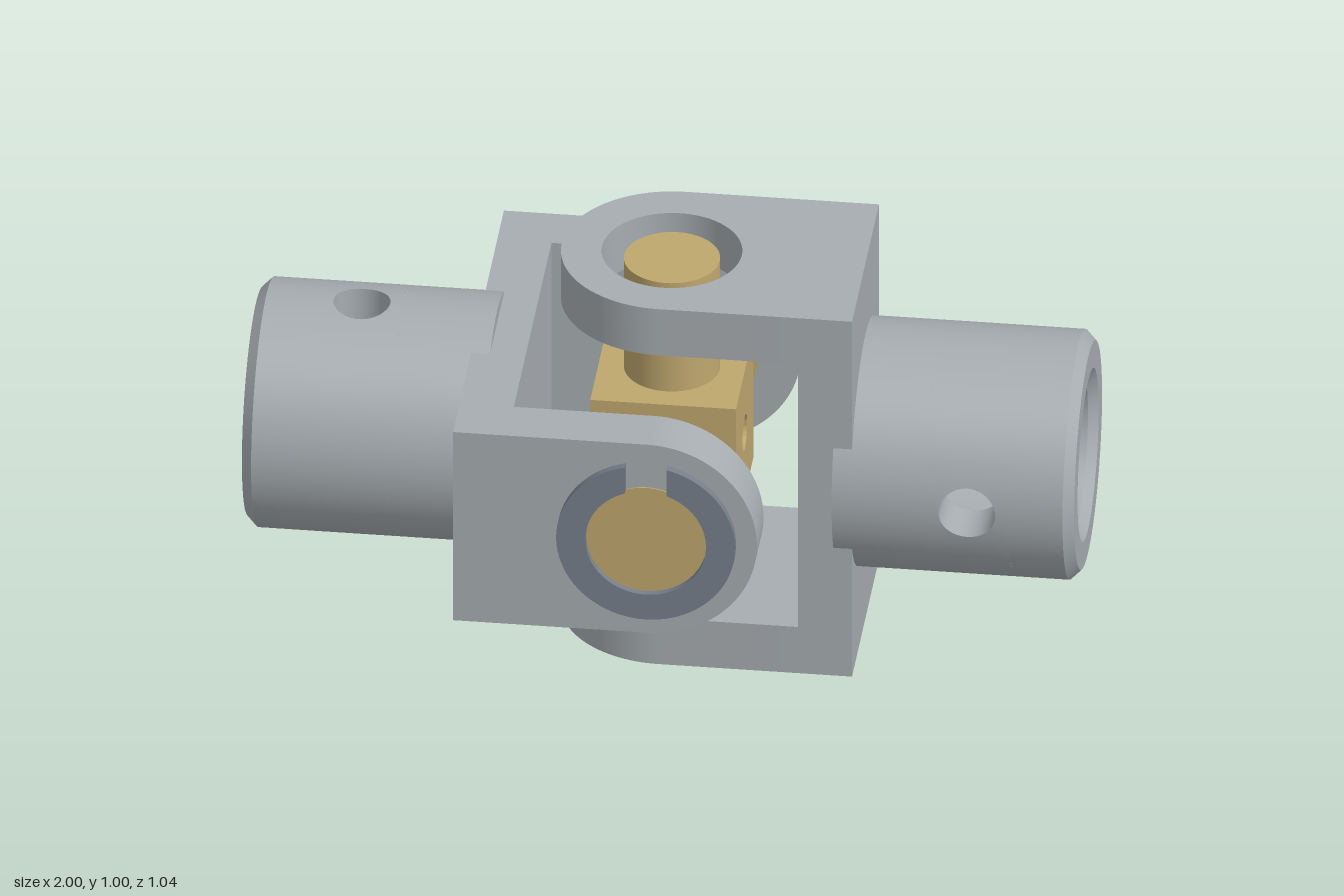
import * as THREE from 'three';
import { toCreasedNormals } from 'three/addons/utils/BufferGeometryUtils.js';

const steel = new THREE.MeshStandardMaterial({ color: 0xa6acb0 });
steel.name = 'steel';
const brass = new THREE.MeshStandardMaterial({ color: 0xbfa76e });
brass.name = 'brass';
const darkSteel = new THREE.MeshStandardMaterial({ color: 0x757e8a });
darkSteel.name = 'darkSteel';

function add(parent, name, geometry, material) {
  const mesh = new THREE.Mesh(geometry, material);
  mesh.name = name;
  parent.add(mesh);
  return mesh;
}

function extrude(shape, depth) {
  const g = new THREE.ExtrudeGeometry(shape, { depth, bevelEnabled: false, curveSegments: 40 });
  return toCreasedNormals(g, 0.5);
}

function circleHole(r) {
  return new THREE.Path().absarc(0, 0, r, 0, Math.PI * 2, true);
}

// grid surface from a rule (u, v) -> [x, y, z]
function surface(rule, nu, nv) {
  const g = new THREE.PlaneGeometry(1, 1, nu, nv);
  const { position, uv } = g.attributes;
  for (let i = 0; i < position.count; i++) position.setXYZ(i, ...rule(uv.getX(i), uv.getY(i)));
  g.computeVertexNormals();
  return g;
}

// hollow hub along +x with one cross-drilled hole facing +z
function createHub() {
  const hub = new THREE.Group();
  hub.name = 'hub';
  const R = 0.3, r = 0.185, holeX = 0.745, holeR = 0.068, halfW = 0.1, halfA = 0.45;
  const x0 = holeX - halfW, x1 = holeX + halfW;

  // straight and chamfered bands, listed as [radius, x, radius, x, beside the hole]
  const bands = [
    [r, 0.42, R, 0.42], [R, 0.42, R, x0], [R, x0, R, x1, true], [R, x1, R, 0.975],
    [R, 0.975, 0.275, 1], [0.275, 1, 0.208, 1], [0.208, 1, r, 0.977],
    [r, 0.977, r, x1], [r, x1, r, x0, true], [r, x0, r, 0.42],
  ];
  for (const [ra, xa, rb, xb, open] of bands) {
    const points = [new THREE.Vector2(ra, xa), new THREE.Vector2(rb, xb)];
    const start = open ? halfA : 0;
    const g = new THREE.LatheGeometry(points, 96, start, Math.PI * 2 - 2 * start);
    add(hub, 'hubWall', g.rotateZ(-Math.PI / 2), steel);
  }

  // wall around the drilled hole, blended from circle to square
  const patch = (rad, turn) => surface((u, v) => {
    const t = turn * u * Math.PI * 2, c = Math.cos(t), s = Math.sin(t);
    const k = 1 / Math.max(Math.abs(c), Math.abs(s));
    const x = THREE.MathUtils.lerp(holeR * c, halfW * c * k, v);
    const a = THREE.MathUtils.lerp(Math.asin(holeR * s / rad), halfA * s * k, v);
    return [holeX + x, rad * Math.sin(a), rad * Math.cos(a)];
  }, 64, 4);
  add(hub, 'outerWallAroundHole', patch(R, -1), steel);
  add(hub, 'innerWallAroundHole', patch(r, 1), steel);
  add(hub, 'holeWall', surface((u, v) => {
    const t = -u * Math.PI * 2, y = holeR * Math.sin(t);
    const rad = v > 0.5 ? R : r;
    return [holeX + holeR * Math.cos(t), y, Math.sqrt(rad * rad - y * y)];
  }, 64, 1), steel);
  return hub;
}

// fork with arms above and below, its hub pointing to +x
function createYoke(name, boreR) {
  const yoke = new THREE.Group();
  yoke.name = name;
  const w = 0.265, inner = 0.335;
  const shape = new THREE.Shape();
  shape.moveTo(inner, -w);
  shape.lineTo(inner, w);
  shape.lineTo(0, w);
  shape.absarc(0, 0, w, Math.PI / 2, Math.PI * 1.5, false);
  shape.holes.push(circleHole(boreR));
  for (const y of [0.37, -0.5]) {
    const arm = extrude(shape, 0.13).rotateX(-Math.PI / 2);
    add(yoke, 'arm', arm.translate(0, y, 0), steel);
  }
  const web = add(yoke, 'web', new THREE.BoxGeometry(0.13, 1, 2 * w), steel);
  web.position.x = 0.4;
  yoke.add(createHub());
  return yoke;
}

// drilled centre block with four pins
function createCross() {
  const cross = new THREE.Group();
  cross.name = 'cross';
  const h = 0.175;
  const square = new THREE.Shape([[-h, -h], [h, -h], [h, h], [-h, h]].map(p => new THREE.Vector2(...p)));
  square.holes.push(circleHole(0.045));
  const block = extrude(square, 2 * h).translate(0, 0, -h).rotateY(Math.PI / 2);
  add(cross, 'centreBlock', block, brass);

  const pin = (name, radius, from, to, side, alongZ) => {
    const g = new THREE.CylinderGeometry(radius, radius, to - from, 64);
    g.translate(0, (from + to) / 2, 0);
    if (side < 0) g.rotateX(Math.PI);
    if (alongZ) g.rotateX(Math.PI / 2);
    add(cross, name, g, brass);
  };
  for (const side of [1, -1]) {
    pin('uprightPin', 0.115, 0.17, 0.48, side, false);
    pin('levelPin', 0.115, 0.17, 0.34, side, true);
    pin('bearingFlange', 0.165, 0.335, 0.37, side, true);
    pin('bearing', 0.145, 0.37, 0.503, side, true);
  }
  return cross;
}

// open retaining ring with its gap at the top
function createRing() {
  const R = 0.215, r = 0.145, gap = 0.05;
  const a = Math.asin(gap / R), b = Math.asin(gap / r), top = Math.PI / 2;
  const shape = new THREE.Shape();
  shape.absarc(0, 0, R, top + a, top - a + Math.PI * 2, false);
  shape.absarc(0, 0, r, top - b + Math.PI * 2, top + b, true);
  return extrude(shape, 0.02);
}

export function createModel() {
  const model = new THREE.Group();
  model.name = 'universalJoint';
  const joint = new THREE.Group();
  joint.name = 'joint';
  joint.position.y = 0.5;
  model.add(joint);

  joint.add(createYoke('leftYoke', 0.168));

  // half turn about a diagonal: the hub points to -x and the arms lie front and back
  const other = createYoke('rightYoke', 0.145);
  other.quaternion.setFromAxisAngle(new THREE.Vector3(0, 1, 1).normalize(), Math.PI);
  joint.add(other);

  joint.add(createCross());
  for (const z of [0.5, -0.52]) {
    add(joint, 'retainingRing', createRing(), darkSteel).position.z = z;
  }
  return model;
}
